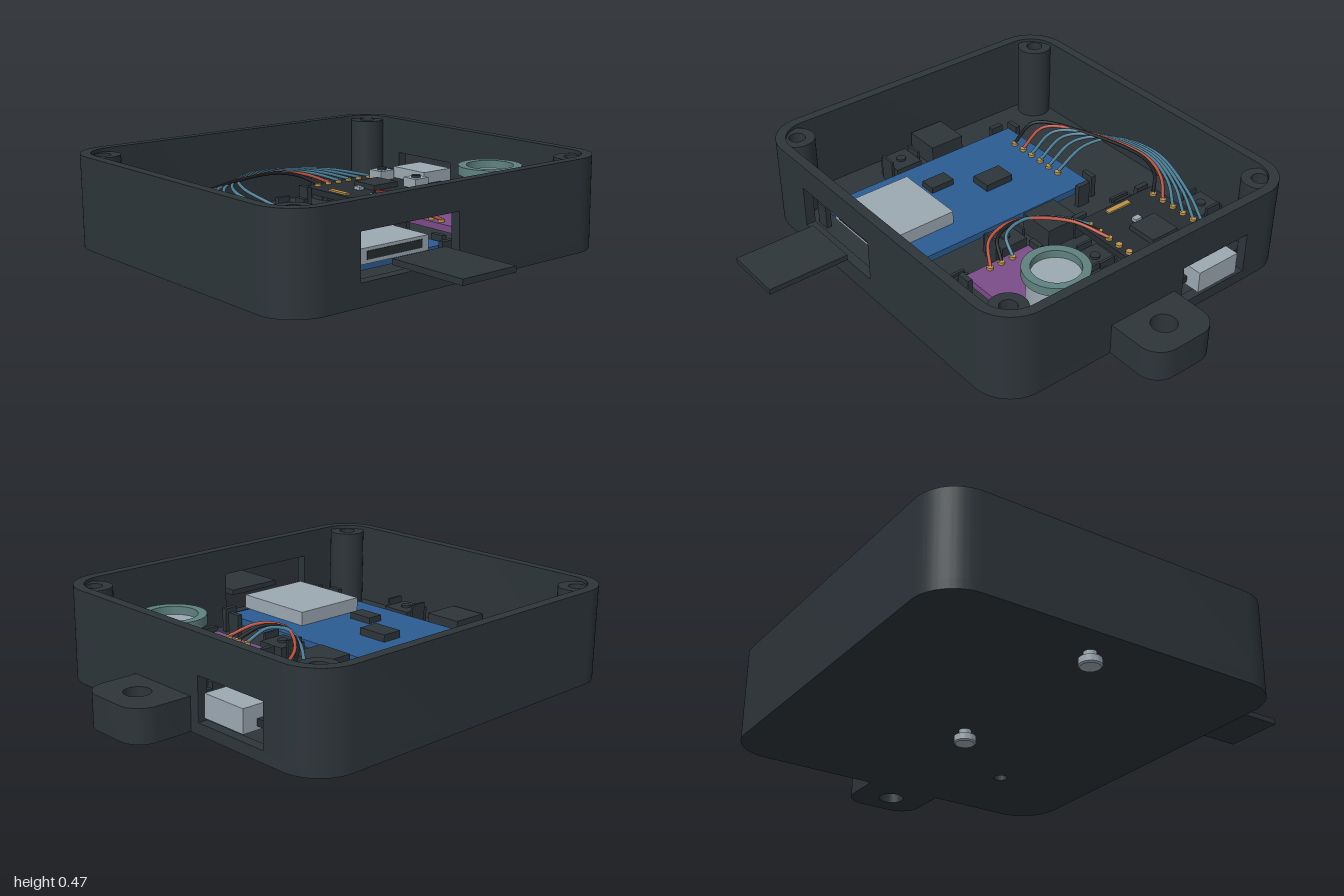
import * as THREE from 'three';
import { toCreasedNormals } from 'three/addons/utils/BufferGeometryUtils.js';

const PI = Math.PI;
const mat = (name, color) => {
  const m = new THREE.MeshStandardMaterial({ color });
  m.name = name;
  return m;
};

export function createModel() {
  const M = {
    shell: mat('charcoal plastic', 0x2d353a),
    board: mat('black board', 0x262d31),
    blue: mat('blue board', 0x2b5c93),
    purple: mat('purple board', 0x7b4c88),
    metal: mat('grey metal', 0x9da9b2),
    rim: mat('green rim', 0x5f827f),
    gold: mat('gold contact', 0xbb944a),
    teal: mat('teal wire', 0x4a7c94),
    red: mat('red wire', 0xb9503f),
    black: mat('black wire', 0x1b1f22),
  };
  const model = new THREE.Group();
  model.name = 'sensorBox';
  const add = (name, geo, m, parent = model) => {
    const mesh = new THREE.Mesh(geo, m);
    mesh.name = name;
    parent.add(mesh);
    return mesh;
  };
  const group = (name) => {
    const g = new THREE.Group();
    g.name = name;
    model.add(g);
    return g;
  };
  // box centred on x, z and spanning y0..y1
  const box = (name, x, z, w, d, y0, y1, m, parent) =>
    add(name, new THREE.BoxGeometry(w, y1 - y0, d).translate(x, (y0 + y1) / 2, z), m, parent);
  const cyl = (name, x, z, r, y0, y1, m, parent, n = 32) =>
    add(name, new THREE.CylinderGeometry(r, r, y1 - y0, n).translate(x, (y0 + y1) / 2, z), m, parent);
  const extrude = (shape, depth) =>
    new THREE.ExtrudeGeometry(shape, { depth, bevelEnabled: false, curveSegments: 16 });
  // plan shape (x, z) raised from y0 to y1
  const slab = (shape, y0, y1) =>
    toCreasedNormals(extrude(shape, y1 - y0).rotateX(PI / 2).translate(0, y1, 0), 0.6);
  const circleHole = (x, z, r) => {
    const p = new THREE.Path();
    p.absarc(x, z, r, 0, PI * 2, true);
    return p;
  };
  const rect = (a, b, c, d, P = THREE.Shape) =>
    new P([[a, b], [c, b], [c, d], [a, d]].map((p) => new THREE.Vector2(...p)));

  // ---- Shell: floor, walls with two openings, corner posts, lug
  const shell = group('shell');
  const X0 = -0.82, X1 = 0.41, Z0 = -0.56, Z1 = 0.81, R = 0.18, T = 0.045, IR = R - T;
  const floor = new THREE.Shape();
  floor.absarc(X0, Z0, R, -PI, -PI / 2, false);
  floor.absarc(X1, Z0, R, -PI / 2, 0, false);
  floor.absarc(X1, Z1, R, 0, PI / 2, false);
  floor.absarc(X0, Z1, R, PI / 2, PI, false);
  floor.holes.push(circleHole(0.15, -0.36, 0.03));
  add('floor', slab(floor, 0.06, 0.1), M.shell, shell);

  const wall = new THREE.Shape();
  wall.absarc(X0, Z0, R, -PI / 2, -PI, true);
  wall.absarc(X0, Z1, R, PI, PI / 2, true);
  wall.absarc(X1, Z1, R, PI / 2, 0, true);
  wall.absarc(X1, Z1, IR, 0, PI / 2, false);
  wall.absarc(X0, Z1, IR, PI / 2, PI, false);
  wall.absarc(X0, Z0, IR, -PI, -PI / 2, false);
  add('frontAndSideWall', slab(wall, 0.1, 0.47), M.shell, shell);
  const corner = new THREE.Shape();
  corner.absarc(X1, Z0, R, -PI / 2, 0, false);
  corner.absarc(X1, Z0, IR, 0, -PI / 2, true);
  add('rearCornerWall', slab(corner, 0.1, 0.47), M.shell, shell);
  const rear = rect(X0, 0.1, X1, 0.47);
  rear.holes.push(rect(-0.72, 0.11, -0.35, 0.3, THREE.Path));
  add('rearWall', extrude(rear, T).translate(0, 0, -0.74), M.shell, shell);
  const side = rect(Z0, 0.1, Z1, 0.47);
  side.holes.push(rect(0.15, 0.155, 0.65, 0.35, THREE.Path));
  add('cardSideWall', extrude(side, T).rotateY(-PI / 2).translate(0.59, 0, 0), M.shell, shell);

  for (const x of [-0.89, 0.475]) for (const z of [-0.63, 0.87]) {
    const post = new THREE.Shape().absarc(x, z, 0.08, 0, PI * 2, false);
    post.holes.push(circleHole(x, z, 0.037));
    add('cornerPost', slab(post, 0.1, 0.455), M.shell, shell);
  }
  const lug = new THREE.Shape();
  lug.moveTo(0.04, -0.735);
  lug.lineTo(-0.305, -0.735);
  lug.absarc(-0.205, -0.9, 0.1, PI, PI * 1.5, false);
  lug.absarc(-0.06, -0.9, 0.1, -PI / 2, 0, false);
  lug.holes.push(circleHole(-0.13, -0.86, 0.056));
  add('hangingLug', slab(lug, 0.06, 0.205), M.shell, shell);

  // ---- Floor fittings: screw blocks, standoffs, clips and ribs
  const fit = group('floorFittings');
  for (const z of [-0.015, 0.84]) box('screwBlock', -0.26, z, 0.175, 0.175, 0.1, 0.2, M.shell, fit);
  const standoffs = [[-0.85, -0.35], [-0.22, -0.35], [-0.145, -0.49], [0.38, -0.49], [-0.01, 0], [-0.01, 0.78]];
  standoffs.forEach(([x, z], i) => {
    box('standoff', x, z, 0.135, 0.135, 0.1, 0.19, M.shell, fit);
    cyl('standoffPin', x, z, 0.022, 0.19, 0.2, M.shell, fit, 20);
    for (const s of [-1, 1]) {
      if (i < 4) box('standoffTab', x, z + s * 0.073, 0.08, 0.012, 0.1, 0.22, M.shell, fit);
      else box('standoffTab', x + s * 0.073, z, 0.012, 0.08, 0.1, 0.22, M.shell, fit);
    }
  });
  const clipsX = [[-0.52, 0.073], [0.39, 0.073], [-0.52, 0.71], [0.39, 0.71], [0.01, -0.65], [0.23, -0.65], [-0.72, -0.1], [-0.35, -0.1]];
  const clipsZ = [[-0.6, 0.12], [-0.6, 0.67], [0.485, 0.12], [0.485, 0.67], [-0.07, -0.61], [0.31, -0.61], [-0.07, -0.14], [0.31, -0.14], [-0.78, -0.665], [-0.295, -0.665]];
  for (const [x, z] of clipsX) box('clip', x, z, 0.065, 0.024, 0.1, 0.21, M.shell, fit);
  for (const [x, z] of clipsZ) box('clip', x, z, 0.024, 0.065, 0.1, 0.21, M.shell, fit);
  for (const x of [-0.68, 0.265]) for (const z of [-0.06, -0.03, 0])
    box('rib', x, z, 0.1, 0.014, 0.1, 0.12, M.shell, fit);

  // ---- Screws underneath
  for (const z of [-0.01, 0.845]) {
    const prof = [[0, 0], [0.04, 0], [0.046, 0.006], [0.046, 0.033], [0.026, 0.033], [0.026, 0.07]];
    const g = new THREE.LatheGeometry(prof.map((p) => new THREE.Vector2(...p)), 28);
    add('mountingScrew', toCreasedNormals(g, 0.6).translate(-0.26, 0, z), M.metal);
  }

  // ---- Controller board
  const ctl = group('controllerBoard');
  box('controllerPlate', -0.535, -0.41, 0.45, 0.575, 0.17, 0.2, M.board, ctl);
  box('plugSocket', -0.53, -0.677, 0.22, 0.176, 0.155, 0.255, M.metal, ctl);
  for (const x of [-0.655, -0.405]) {
    box('button', x, -0.525, 0.085, 0.085, 0.2, 0.245, M.metal, ctl);
    cyl('buttonCap', x, -0.525, 0.022, 0.245, 0.256, M.shell, ctl, 20);
  }
  box('processor', -0.53, -0.38, 0.145, 0.145, 0.2, 0.225, M.shell, ctl);
  box('lamp', -0.53, -0.275, 0.038, 0.028, 0.2, 0.215, M.metal, ctl);
  box('antenna', -0.53, -0.155, 0.13, 0.026, 0.2, 0.208, M.gold, ctl);
  const pinZ = (i) => -0.62 + i * 0.063;
  for (let i = 0; i < 8; i++) for (const x of [-0.72, -0.34])
    cyl('pin', x, pinZ(i), 0.015, 0.16, 0.212, M.gold, ctl, 12);

  // ---- Sensor board
  const sen = group('sensorBoard');
  box('sensorPlate', 0.12, -0.37, 0.34, 0.515, 0.16, 0.19, M.purple, sen);
  cyl('sensorCan', 0.12, -0.49, 0.122, 0.19, 0.35, M.metal, sen, 40);
  const ring = new THREE.Shape().absarc(0.12, -0.49, 0.142, 0, PI * 2, false);
  ring.holes.push(circleHole(0.12, -0.49, 0.105));
  add('sensorRim', slab(ring, 0.345, 0.385), M.rim, sen);
  for (const x of [0.06, 0.12, 0.18]) cyl('pin', x, -0.14, 0.015, 0.155, 0.202, M.gold, sen, 12);

  // ---- Card reader board
  const rd = group('cardReaderBoard');
  box('readerPlate', -0.06, 0.39, 1.04, 0.595, 0.155, 0.187, M.blue, rd);
  box('cardHolder', 0.295, 0.395, 0.385, 0.35, 0.187, 0.25, M.metal, rd);
  box('cardSlot', 0.488, 0.395, 0.006, 0.28, 0.203, 0.237, M.board, rd);
  box('largeChip', -0.235, 0.37, 0.145, 0.1, 0.187, 0.22, M.shell, rd);
  box('smallChip', -0.02, 0.5, 0.12, 0.075, 0.187, 0.215, M.shell, rd);
  const readerZ = (i) => 0.235 + i * 0.063;
  for (let i = 0; i < 6; i++) cyl('pin', -0.51, readerZ(i), 0.015, 0.15, 0.2, M.gold, rd, 12);
  box('memoryCard', 0.8125, 0.395, 0.375, 0.27, 0.21, 0.235, M.shell);

  // ---- Wires
  const wires = group('wires');
  const wire = (pts, m) => {
    const curve = new THREE.CatmullRomCurve3(pts.map((p) => new THREE.Vector3(...p)));
    add('wire', new THREE.TubeGeometry(curve, 48, 0.008, 8), m, wires);
  };
  const wireMats = [M.teal, M.teal, M.teal, M.teal, M.red, M.black];
  wireMats.forEach((m, i) => wire([
    [-0.72, 0.21, pinZ(i + 2)],
    [-0.8 + 0.002 * i, 0.25, -0.32 + 0.042 * i],
    [-0.895 + 0.015 * i, 0.27, 0],
    [-0.83 + 0.015 * i, 0.27, 0.2 + 0.025 * i],
    [-0.7 + 0.012 * i, 0.25, 0.265 + 0.061 * i],
    [-0.51, 0.2, readerZ(i)],
  ], m));
  [M.teal, M.black, M.red].forEach((m, i) => wire([
    [-0.34, 0.21, pinZ(7 - i)],
    [-0.23 - 0.01 * i, 0.25, -0.1 - 0.025 * i],
    [-0.08 + 0.02 * i, 0.27, -0.04 + 0.01 * i],
    [0.03 + 0.04 * i, 0.25, -0.06 + 0.008 * i],
    [0.06 + 0.06 * i, 0.2, -0.14],
  ], m));

  return model;
}
